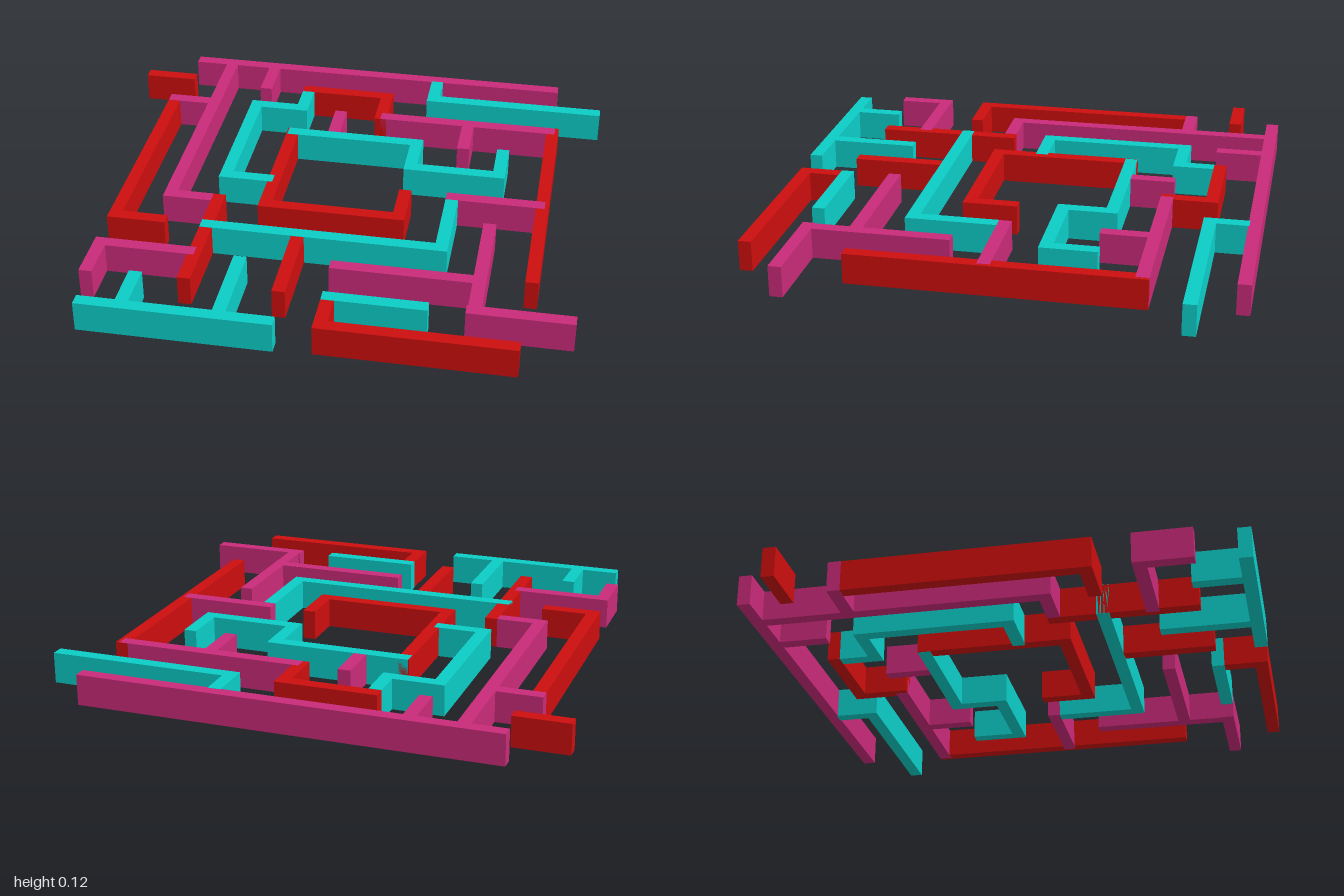
import * as THREE from 'three';

const HEIGHT = 0.12;
const HALF = 0.025; // half the wall thickness

// Centre lines of the wall runs in plan: x, z, x, z, ...
const redRuns = [
  [-1, -0.76, -0.785, -0.76],
  [-0.825, -0.54, -0.825, 0.355, -0.62, 0.355],
  [-0.29, -0.74, 0.08, -0.74, 0.08, -0.54],
  [0.81, -0.59, 0.81, 0.525],
  [-0.265, -0.4, -0.265, 0.18, 0.265, 0.18, 0.265, -0.01],
  [-0.455, 0.15, -0.455, 0.72],
  [-0.095, 0.385, -0.095, 0.74],
  [0.09, 0.76, 0.09, 0.905, 0.8, 0.905],
];
const magentaRuns = [
  [-0.81, -0.92, 0.81, -0.92],
  [-0.65, -0.9, -0.65, 0.175, -0.48, 0.175],
  [-0.455, -0.9, -0.455, -0.71],
  [-0.85, -0.565, -0.67, -0.565],
  [-0.095, -0.575, -0.095, -0.4],
  [0.08, -0.565, 0.82, -0.565],
  [0.455, -0.545, 0.455, -0.36],
  [0.43, 0.005, 0.82, 0.005],
  [0.62, 0.17, 0.62, 0.725],
  [0.06, 0.54, 0.62, 0.54],
  [0.59, 0.725, 0.985, 0.725],
  [-0.455, 0.545, -0.825, 0.545, -0.825, 0.74],
];
const tealRuns = [
  [0.28, -0.9, 0.28, -0.75, 1, -0.75],
  [-0.265, -0.715, -0.265, -0.575, -0.465, -0.575, -0.465, 0, -0.27, 0],
  [-0.285, -0.375, 0.26, -0.375, 0.26, -0.185, 0.62, -0.185, 0.62, -0.38],
  [0.455, 0.03, 0.455, 0.36, -0.48, 0.36],
  [-0.81, 0.915, -0.075, 0.915],
  [-0.64, 0.71, -0.64, 0.89],
  [-0.28, 0.55, -0.28, 0.89],
  [0.065, 0.735, 0.455, 0.735],
];

// Thickens a right-angled centre line with mitred corners and raises it
function wallGeometry(run, inset) {
  const pts = [];
  for (let i = 0; i < run.length; i += 2) pts.push(new THREE.Vector2(run[i], -run[i + 1]));
  const normals = pts.slice(1).map((p, i) => {
    const d = p.clone().sub(pts[i]).normalize();
    return new THREE.Vector2(-d.y, d.x);
  });
  const offset = pts.map((p, i) => {
    const o = new THREE.Vector2();
    if (i > 0) o.add(normals[i - 1]);
    if (i < normals.length) o.add(normals[i]);
    return o.multiplyScalar(HALF);
  });
  const leftSide = pts.map((p, i) => p.clone().add(offset[i]));
  const rightSide = pts.map((p, i) => p.clone().sub(offset[i]));
  const shape = new THREE.Shape([...rightSide, ...leftSide.reverse()]);
  const geo = new THREE.ExtrudeGeometry(shape, { depth: HEIGHT - 2 * inset, bevelEnabled: false });
  return geo.rotateX(-Math.PI / 2).translate(0, inset, 0);
}

export function createModel() {
  const model = new THREE.Group();
  model.name = 'mazeWalls';

  // A tiny inset per colour keeps crossing walls from sharing a surface
  const sets = [
    ['redWall', 0xcc0e0e, redRuns, 0.001],
    ['magentaWall', 0xc82a78, magentaRuns, 0.0005],
    ['tealWall', 0x0cccc6, tealRuns, 0],
  ];
  for (const [name, color, runs, inset] of sets) {
    const material = new THREE.MeshStandardMaterial({ color });
    const group = new THREE.Group();
    group.name = name + 's';
    runs.forEach((run, i) => {
      const wall = new THREE.Mesh(wallGeometry(run, inset), material);
      wall.name = name + (i + 1);
      group.add(wall);
    });
    model.add(group);
  }
  return model;
}
